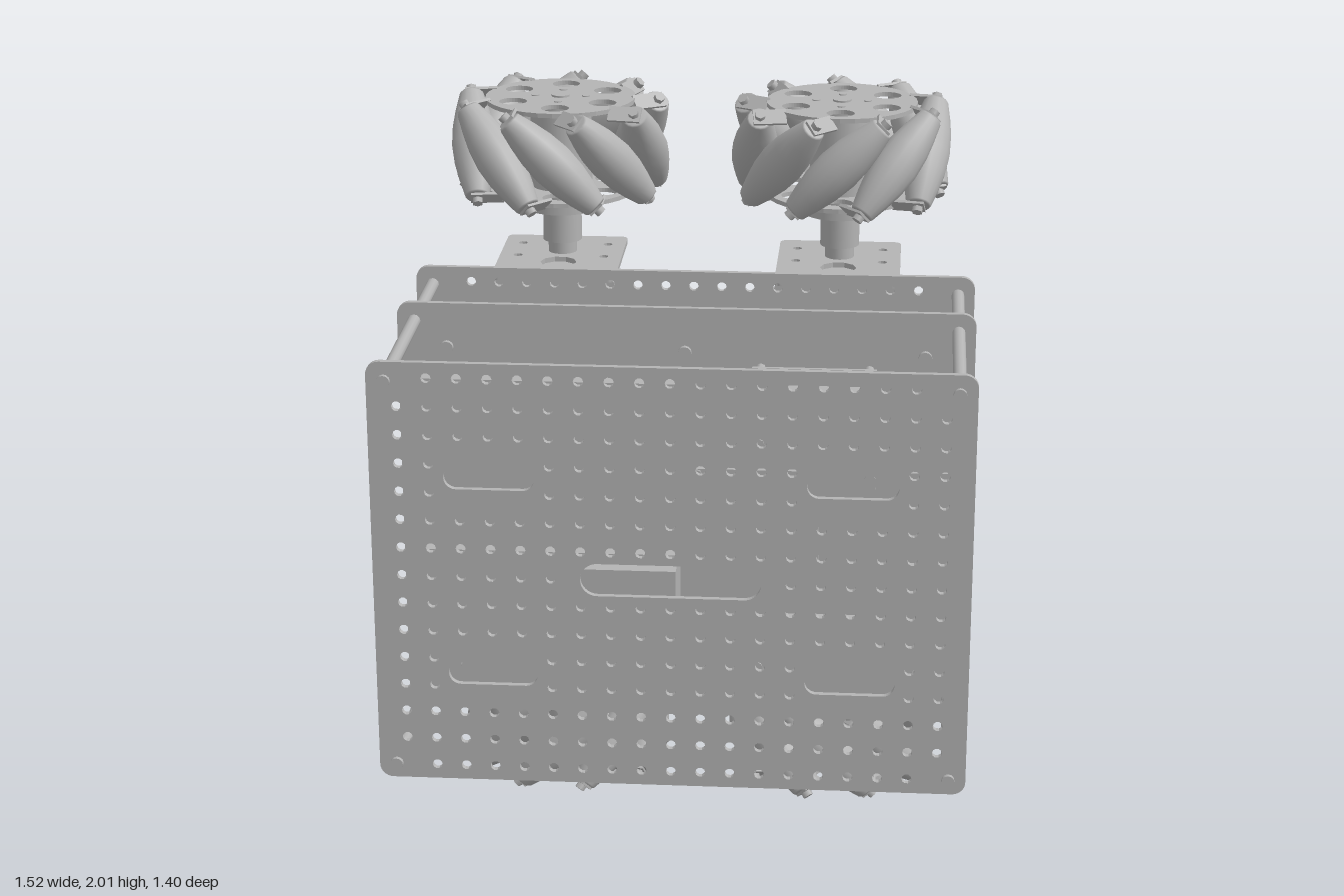
import * as THREE from 'three';

const metal = new THREE.MeshStandardMaterial({ color: 0xb4b4b4 });
metal.name = 'grey metal';

const MID = 1.0; // height of the mirror plane between upper and lower drives

function add(parent, name, geometry, x = 0, y = 0, z = 0) {
  const m = new THREE.Mesh(geometry, metal);
  m.name = name;
  m.position.set(x, y, z);
  parent.add(m);
  return m;
}

// Box given by its limits on each axis
function block(parent, name, x0, x1, y0, y1, z0, z1) {
  return add(parent, name, new THREE.BoxGeometry(x1 - x0, y1 - y0, z1 - z0),
    (x0 + x1) / 2, (y0 + y1) / 2, (z0 + z1) / 2);
}

// Rod along z
function rod(parent, name, r, x, y, z0, z1, sides = 12) {
  const m = add(parent, name, new THREE.CylinderGeometry(r, r, z1 - z0, sides), x, y, (z0 + z1) / 2);
  m.rotation.x = Math.PI / 2;
  return m;
}

// Cylinder along y, offsets measured from the mirror plane in direction d
function barrel(parent, name, r, d, a, b, x, z, sides = 32) {
  return add(parent, name, new THREE.CylinderGeometry(r, r, b - a, sides), x, MID + d * (a + b) / 2, z);
}

// Rounded rectangle or slot outline
function outline(path, cx, cy, w, h, r) {
  const x = w / 2 - r, y = h / 2 - r, q = Math.PI / 2;
  path.absarc(cx + x, cy + y, r, 0, q);
  path.absarc(cx - x, cy + y, r, q, 2 * q);
  path.absarc(cx - x, cy - y, r, 2 * q, 3 * q);
  path.absarc(cx + x, cy - y, r, 3 * q, 4 * q);
  path.closePath();
  return path;
}

const circle = (x, y, r) => new THREE.Path().absarc(x, y, r, 0, Math.PI * 2);

function slab(shape, depth, curveSegments = 5) {
  const g = new THREE.ExtrudeGeometry(shape, { depth, bevelEnabled: false, curveSegments });
  return g.translate(0, 0, -depth / 2);
}

// Deck plate; slots are [x, y, width, height]
function deckPlate(perforated, slots) {
  const s = outline(new THREE.Shape(), 0, 0, 1.52, 1.14, 0.035);
  for (const [x, y, w, h] of slots) s.holes.push(outline(new THREE.Path(), x, y, w, h, Math.min(w, h) / 2 - 0.0005));
  if (perforated) {
    for (let i = -9; i <= 9; i++) for (let j = -7; j <= 7; j++) {
      const x = i * 0.0761, y = j * 0.0757;
      const corner = Math.abs(i) === 9 && Math.abs(j) === 7;
      const cut = slots.some(([sx, sy, w, h]) =>
        Math.abs(x - sx) < w / 2 + 0.015 && Math.abs(y - sy) < h / 2 + 0.015);
      if (!corner && !cut) s.holes.push(circle(x, y, 0.013));
    }
  }
  return slab(s, 0.016);
}

// Wheel side disc with round cut-outs
function hubDisc() {
  const s = new THREE.Shape().absarc(0, 0, 0.207, 0, Math.PI * 2);
  for (let k = 0; k < 6; k++) {
    const a = Math.PI / 2 + k * Math.PI / 3;
    s.holes.push(circle(0.142 * Math.cos(a), 0.142 * Math.sin(a), 0.038));
  }
  return slab(s, 0.012, 16).rotateX(Math.PI / 2);
}

const rollerProfile = [[0, -0.165], [0.03, -0.165], [0.034, -0.16], [0.047, -0.11], [0.057, -0.06],
  [0.062, 0], [0.057, 0.06], [0.047, 0.11], [0.034, 0.16], [0.03, 0.165], [0, 0.165]]
  .map(([x, y]) => new THREE.Vector2(x, y));

// Wheel with nine slanted rollers
function wheel(sx, sy) {
  const g = new THREE.Group();
  g.name = 'rollerWheel';
  for (const e of [-1, 1]) add(g, 'hubDisc', hubDisc(), 0, e * 0.125, 0);
  add(g, 'hubCore', new THREE.CylinderGeometry(0.085, 0.085, 0.24, 24));
  add(g, 'axleBolt', new THREE.CylinderGeometry(0.025, 0.025, 0.272, 16));
  for (let k = 0; k < 4; k++) {
    const a = k * Math.PI / 2;
    add(g, 'hubScrew', new THREE.CylinderGeometry(0.011, 0.011, 0.268, 8), 0.07 * Math.cos(a), 0, 0.07 * Math.sin(a));
  }
  const slant = -sx * sy;
  for (let k = 0; k < 9; k++) {
    let a = (-30.5 + 40 * k) * Math.PI / 180;
    if (sx > 0) a = Math.PI - a;
    const radial = new THREE.Vector3(Math.cos(a), 0, Math.sin(a));
    const axis = new THREE.Vector3(-Math.sin(a) * slant, 1, Math.cos(a) * slant).normalize();
    const side = new THREE.Vector3().crossVectors(radial, axis);
    const r = new THREE.Group();
    r.name = 'roller';
    r.quaternion.setFromRotationMatrix(new THREE.Matrix4().makeBasis(radial, axis, side));
    r.position.copy(radial).multiplyScalar(0.24);
    add(r, 'rollerBarrel', new THREE.LatheGeometry(rollerProfile, 16));
    for (const e of [-1, 1]) {
      add(r, 'rollerTab', new THREE.BoxGeometry(0.09, 0.008, 0.045), -0.027, e * 0.168, 0);
      add(r, 'rollerNut', new THREE.CylinderGeometry(0.015, 0.015, 0.022, 6), 0, e * 0.176, 0);
    }
    g.add(r);
  }
  return g;
}

// Motor, bracket, coupling and wheel
function driveUnit(sx, d) {
  const g = new THREE.Group();
  g.name = 'driveUnit';
  const x = sx * 0.387, z = -0.4;
  // angle bracket
  const top = outline(new THREE.Shape(), 0, 0, 0.34, 0.4, 0.02);
  top.holes.push(circle(0, 0.06, 0.05));
  for (const [hx, hy] of [[-0.12, -0.12], [0.12, -0.12], [-0.12, 0.15], [0.12, 0.15], [0, -0.12], [-0.12, 0], [0.12, 0]])
    top.holes.push(circle(hx, hy, 0.013));
  add(g, 'bracketPlate', slab(top, 0.014).rotateX(Math.PI / 2), x, MID + d * 0.543, -0.345);
  const flange = outline(new THREE.Shape(), 0, 0, 0.34, 0.29, 0.02);
  for (const hx of [-0.13, 0.13]) for (const hy of [-0.08, 0.08])
    flange.holes.push(outline(new THREE.Path(), hx, hy, 0.028, 0.06, 0.0139));
  add(g, 'bracketFlange', slab(flange, 0.012), x, MID + d * 0.4, -0.154);
  // motor
  barrel(g, 'gearbox', 0.145, d, 0.37, 0.536, x, z);
  barrel(g, 'motorBody', 0.132, d, 0.11, 0.37, x, z);
  barrel(g, 'motorCap', 0.124, d, 0.09, 0.11, x, z);
  barrel(g, 'motorBearing', 0.02, d, 0.075, 0.09, x, z, 16);
  for (const dz of [-0.09, 0.09]) add(g, 'motorTerminal', new THREE.BoxGeometry(0.012, 0.035, 0.03), x, MID + d * 0.073, z + dz);
  // coupling
  barrel(g, 'shaft', 0.04, d, 0.53, 0.6, x, z, 20);
  barrel(g, 'couplingHub', 0.054, d, 0.585, 0.69, x, z, 24);
  barrel(g, 'couplingFlange', 0.108, d, 0.68, 0.71, x, z);
  barrel(g, 'wheelSpacer', 0.06, d, 0.7, 0.74, x, z, 24);
  const w = wheel(sx, d);
  w.position.set(x, MID + d * 0.86, z);
  g.add(w);
  return g;
}

export function createModel() {
  const model = new THREE.Group();
  model.name = 'wheeledRobotChassis';

  // Three decks
  const slots = [[0, 0, 0.46, 0.088]];
  for (const sx of [-1, 1]) for (const sy of [-1, 1]) slots.push([sx * 0.457, sy * 0.268, 0.23, 0.063]);
  add(model, 'frontPlate', deckPlate(true, slots), 0, 1.005, 0.68);
  add(model, 'middlePlate', deckPlate(false, []), 0, 1.005, 0.188);
  add(model, 'backPlate', deckPlate(true, [[-0.304, 0, 0.063, 0.27], [0.304, 0, 0.063, 0.27],
    [0, 0.23, 0.23, 0.063], [0, -0.23, 0.23, 0.063]]), 0, 1.005, -0.14);

  // Long pillars, short standoffs and drives
  for (const d of [-1, 1]) {
    for (const sx of [-1, 1]) {
      rod(model, 'pillar', 0.017, sx * 0.715, 1 + d * 0.525, -0.158, 0.7);
      model.add(driveUnit(sx, d));
    }
    for (const x of [-0.63, 0, 0.63]) rod(model, 'standoff', 0.018, x, 1 + d * 0.455, -0.158, 0.21);
  }

  // Battery packs
  for (const d of [-1, 1]) {
    const pack = (name, a, b, z0, z1) =>
      block(model, name, -0.7, -0.012, Math.min(1 + d * a, 1 + d * b), Math.max(1 + d * a, 1 + d * b), z0, z1);
    pack('batteryTray', 0.08, 0.4, 0.196, 0.3);
    pack('batteryPack', 0.1, 0.38, 0.3, 0.365);
  }
  block(model, 'batteryPlug', -0.012, 0.01, 1.2, 1.26, 0.22, 0.265);

  // Driver modules above and below the controller
  for (const d of [-1, 1]) {
    const y = 1 + d * 0.32;
    block(model, 'driverBoard', 0.18, 0.505, y - 0.115, y + 0.115, 0.242, 0.255);
    block(model, 'driverHeatsink', 0.25, 0.47, y - 0.07, y + 0.07, 0.255, 0.315);
    block(model, 'driverPlug', 0.185, 0.225, y - 0.06, y + 0.06, 0.255, 0.3);
    for (const x of [0.2, 0.485]) for (const e of [-0.095, 0.095])
      rod(model, 'driverStandoff', 0.014, x, y + e, 0.196, 0.26, 8);
  }

  // Controller stack
  block(model, 'lowerBoard', 0.03, 0.67, 0.78, 1.22, 0.273, 0.286);
  block(model, 'upperBoard', 0.03, 0.51, 0.8, 1.2, 0.372, 0.386);
  block(model, 'controllerBox', 0.055, 0.365, 0.96, 1.1, 0.386, 0.44);
  block(model, 'controllerPlug', 0.415, 0.49, 0.86, 0.925, 0.386, 0.458);
  for (const x of [0.045, 0.495]) for (const y of [0.815, 1.185]) rod(model, 'boardStandoff', 0.014, x, y, 0.196, 0.392, 8);
  for (const [y0, y1] of [[0.8, 0.945], [0.96, 1.09], [1.105, 1.21]])
    block(model, 'sidePort', 0.56, 0.695, y0, y1, 0.286, 0.405);

  // Power board behind the middle plate
  block(model, 'powerBoard', -0.26, 0.265, 0.8, 1.2, -0.07, -0.058);
  for (const x of [-0.235, 0.235]) for (const y of [0.82, 1.18]) rod(model, 'powerStandoff', 0.015, x, y, -0.14, -0.05, 8);
  for (const s of [-1, 1]) {
    block(model, 'terminalStrip', s * 0.228 - 0.032, s * 0.228 + 0.032, 0.95, 1.09, -0.058, -0.015);
    block(model, 'relay', s * 0.107 - 0.058, s * 0.107 + 0.058, 0.95, 1.09, -0.058, 0.058);
    block(model, 'capacitorBank', s * 0.107 - 0.058, s * 0.107 + 0.058, 1.09, 1.2, -0.058, 0.03);
    block(model, 'outputPlug', s * 0.107 - 0.058, s * 0.107 + 0.058, 0.8, 0.925, -0.058, 0.03);
  }
  return model;
}
